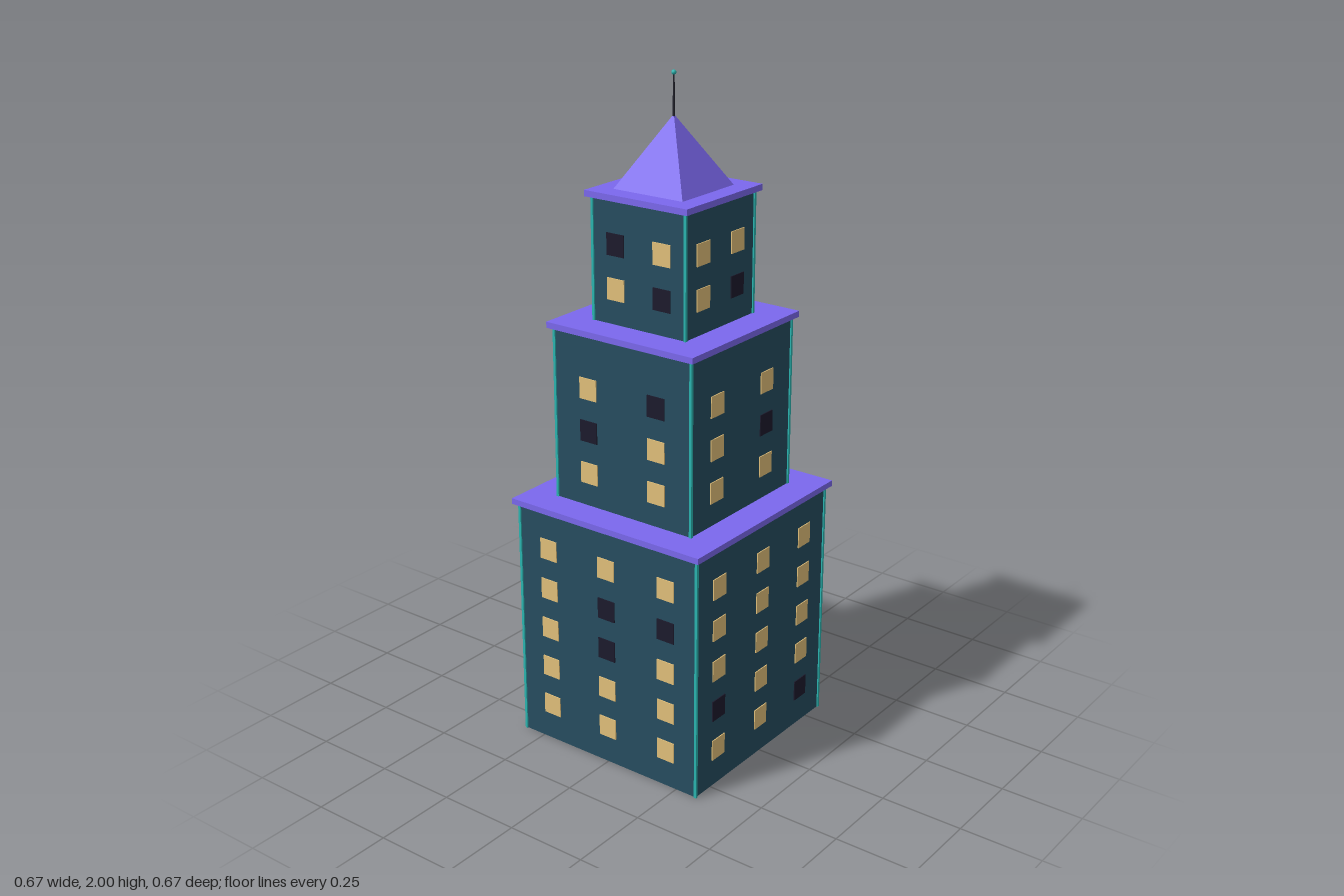
import * as THREE from 'three';

const mat = (color) => new THREE.MeshStandardMaterial({ color });

export function createModel() {
  const model = new THREE.Group();
  model.name = 'tower';
  const wall = mat(0x264d60), purple = mat(0x7b68ee), teal = mat(0x2ab5b0);
  const lit = mat(0xe2c07a), dark = mat(0x1c1a2c), metal = mat(0x22222c);

  const add = (parent, name, geometry, material, x, y, z) => {
    const mesh = new THREE.Mesh(geometry, material);
    mesh.name = name;
    mesh.position.set(x, y, z);
    parent.add(mesh);
    return mesh;
  };

  // Window rows run top to bottom, sides are front, left (+x), back, right (-x); L is lit, D is dark
  const tiers = [
    { name: 'lower', half: 0.32, y0: 0, y1: 0.75, cols: [-0.213, 0, 0.213], top: 0.63,
      sides: ['LLL LDD LDL LLL LLL', 'LLL LLL LLL DLL LLD', 'LDL LLL LLL LLL LLD', 'LLL LLL LLL LLD LLL'] },
    { name: 'middle', half: 0.24, y0: 0.765, y1: 1.285, cols: [-0.12, 0.12], top: 1.125,
      sides: ['LD DL LL', 'LL LD LL', 'LL LL DL', 'LL DL LL'] },
    { name: 'upper', half: 0.16, y0: 1.3, y1: 1.66, cols: [-0.08, 0.08], top: 1.533,
      sides: ['DL LD', 'LL LD', 'LL LD', 'LL DL'] },
  ];
  const pane = new THREE.BoxGeometry(0.06, 0.064, 0.006);

  for (const t of tiers) {
    const tier = new THREE.Group();
    tier.name = t.name + 'Tier';
    model.add(tier);
    const h = t.y1 - t.y0, mid = (t.y0 + t.y1) / 2;
    add(tier, 'walls', new THREE.BoxGeometry(t.half * 2, h, t.half * 2), wall, 0, mid, 0);

    // Overhanging roof slab
    const slab = (t.half + 0.016) * 2;
    add(tier, 'roofSlab', new THREE.BoxGeometry(slab, 0.018, slab), purple, 0, t.y1 + 0.008, 0);

    // Corner trim
    const strip = new THREE.BoxGeometry(0.008, h, 0.008);
    for (const sx of [-1, 1]) for (const sz of [-1, 1])
      add(tier, 'cornerTrim', strip, teal, sx * t.half, mid, sz * t.half);

    // Windows on the four sides
    t.sides.forEach((pattern, i) => {
      const side = new THREE.Group();
      side.name = ['front', 'left', 'back', 'right'][i] + 'Windows';
      side.rotation.y = i * Math.PI / 2;
      tier.add(side);
      pattern.split(' ').forEach((row, r) => t.cols.forEach((x, c) =>
        add(side, 'window', pane, row[c] === 'L' ? lit : dark, x, t.top - r * 0.1285, t.half)));
    });
  }

  // Pyramid roof
  const spire = new THREE.ConeGeometry(0.12 * Math.SQRT2, 0.205, 4).toNonIndexed();
  spire.computeVertexNormals();
  spire.rotateY(Math.PI / 4);
  add(model, 'spire', spire, purple, 0, 1.777, 0);

  // Antenna with a beacon at the tip
  add(model, 'antenna', new THREE.CylinderGeometry(0.002, 0.004, 0.13, 8), metal, 0, 1.93, 0);
  add(model, 'beacon', new THREE.SphereGeometry(0.007, 12, 8), teal, 0, 1.993, 0);
  return model;
}
